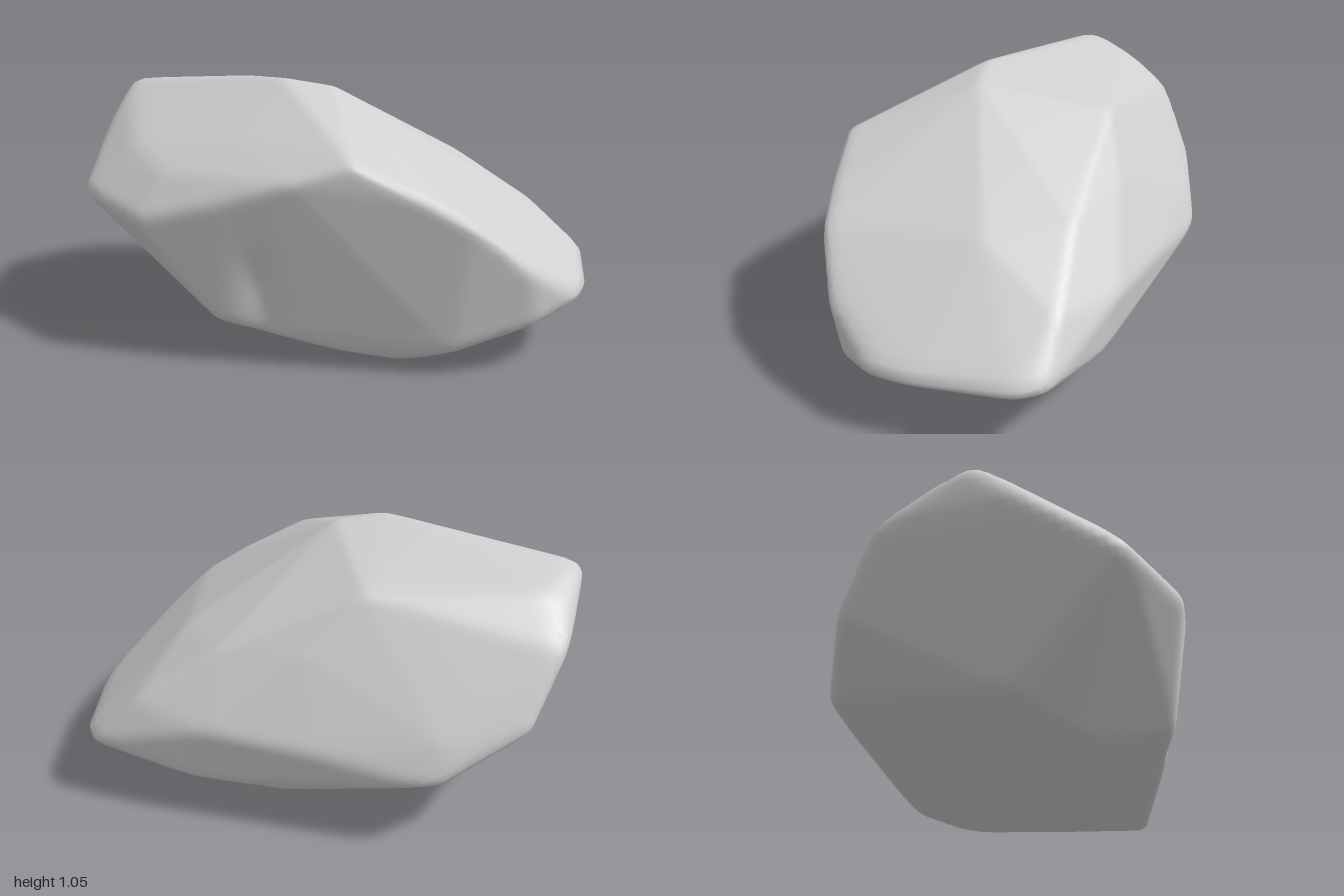
import * as THREE from 'three';
import { mergeVertices } from 'three/addons/utils/BufferGeometryUtils.js';
import { ConvexGeometry } from 'three/addons/geometries/ConvexGeometry.js';

// Corner points of the boulder, grouped by region
const topRidge = [[-0.985, 0.98, -0.06], [-0.58, 1.01, 0.05], [-0.4, 1.04, 0.08], [-0.2, 1.055, 0.18],
  [0, 1.025, 0.14], [-0.85, 0.93, -0.27], [-0.17, 0.925, -0.37]];
const frontRidge = [[-1.01, 0.8, 0.15], [-0.955, 0.62, 0.475], [-0.63, 0.57, 0.67], [-0.55, 0.74, 0.56],
  [-0.75, 0.81, 0.4], [-0.3, 0.855, 0.47], [-0.3, 0.66, 0.68], [0, 0.76, 0.68], [0.22, 0.835, 0.63],
  [0.5, 0.7, 0.57], [0.64, 0.62, 0.53]];
const rightTip = [[0.84, 0.43, 0.41], [1.02, 0.25, 0.15], [1.035, 0.25, 0], [0.985, 0.25, -0.39], [0.92, 0.26, -0.47],
  [0.58, 0.645, -0.1], [0.4, 0.67, -0.4], [0.72, 0.46, -0.45], [0.85, 0.185, 0.35]];
const backRidge = [[0.5, 0.18, -0.545], [0.4, 0.42, -0.595], [0.05, 0.72, -0.48], [0, 0.4, -0.635],
  [-0.48, 0.31, -0.69], [-0.35, 0.27, -0.645], [-0.5, 0.45, -0.64], [-0.81, 0.5, -0.575], [-0.93, 0.77, -0.43]];
const underside = [[-0.76, 0.185, 0.04], [-0.5, 0.095, 0.3], [-0.32, 0.18, 0.61], [0.15, 0.065, 0.51],
  [0.25, -0.005, 0.23], [0.36, 0.03, 0.45], [0.57, 0.09, 0.47], [0.1, 0.15, -0.54]];

const CENTER = new THREE.Vector3(0, 0.5, 0);

// Outward planes of the convex hull, relative to the centre
function hullPlanes() {
  const points = [topRidge, frontRidge, rightTip, backRidge, underside].flat()
    .map(p => new THREE.Vector3(...p).sub(CENTER));
  const pos = new ConvexGeometry(points).attributes.position;
  const planes = [];
  for (let i = 0; i < pos.count; i += 3) {
    const [a, b, c] = [0, 1, 2].map(k => new THREE.Vector3().fromBufferAttribute(pos, i + k));
    const normal = b.clone().sub(a).cross(c.sub(a)).normalize();
    planes.push({ normal, distance: normal.dot(a) });
  }
  return planes;
}

// Wear the edges down: alternate relaxing and pushing back, so the size is kept
function wearEdges(geometry, steps) {
  const pos = geometry.attributes.position;
  const index = geometry.index.array;
  const neighbours = Array.from({ length: pos.count }, () => new Set());
  for (let i = 0; i < index.length; i += 3) {
    for (let k = 0; k < 3; k++) {
      neighbours[index[i + k]].add(index[i + (k + 1) % 3]).add(index[i + (k + 2) % 3]);
    }
  }
  for (const step of steps) {
    const old = Array.from({ length: pos.count }, (_, i) => new THREE.Vector3().fromBufferAttribute(pos, i));
    neighbours.forEach((set, i) => {
      const mean = new THREE.Vector3();
      set.forEach(n => mean.add(old[n]));
      const moved = old[i].clone().lerp(mean.divideScalar(set.size), step);
      pos.setXYZ(i, moved.x, moved.y, moved.z);
    });
  }
}

function boulderGeometry() {
  const sphere = new THREE.IcosahedronGeometry(1, 36);
  sphere.deleteAttribute('normal');
  sphere.deleteAttribute('uv');
  const geometry = mergeVertices(sphere, 1e-4);
  const pos = geometry.attributes.position;
  const planes = hullPlanes();
  const v = new THREE.Vector3();

  // Push the sphere out to the hull
  for (let i = 0; i < pos.count; i++) {
    v.fromBufferAttribute(pos, i).normalize();
    let radius = Infinity;
    for (const { normal, distance } of planes) {
      const slope = normal.dot(v);
      if (slope > 1e-6) radius = Math.min(radius, distance / slope);
    }
    v.multiplyScalar(radius).add(CENTER);
    // Shallow upright groove in the front face
    if (v.z > 0.3) {
      v.z -= 0.025 * Math.exp(-(((v.x + 0.16) / 0.06) ** 2) - ((v.y - 0.33) / 0.15) ** 2);
    }
    pos.setXYZ(i, v.x, v.y, v.z);
  }
  wearEdges(geometry, [0.6, -0.5, 0.6, -0.5, 0.6]);

  // Stand it on the ground
  geometry.computeBoundingBox();
  geometry.translate(0, -geometry.boundingBox.min.y, 0);
  geometry.computeVertexNormals();
  return geometry;
}

export function createModel() {
  const group = new THREE.Group();
  group.name = 'rock';
  const stone = new THREE.MeshStandardMaterial({ color: 0xd0d0d0 });
  stone.name = 'grey stone';
  const boulder = new THREE.Mesh(boulderGeometry(), stone);
  boulder.name = 'boulder';
  group.add(boulder);
  return group;
}
